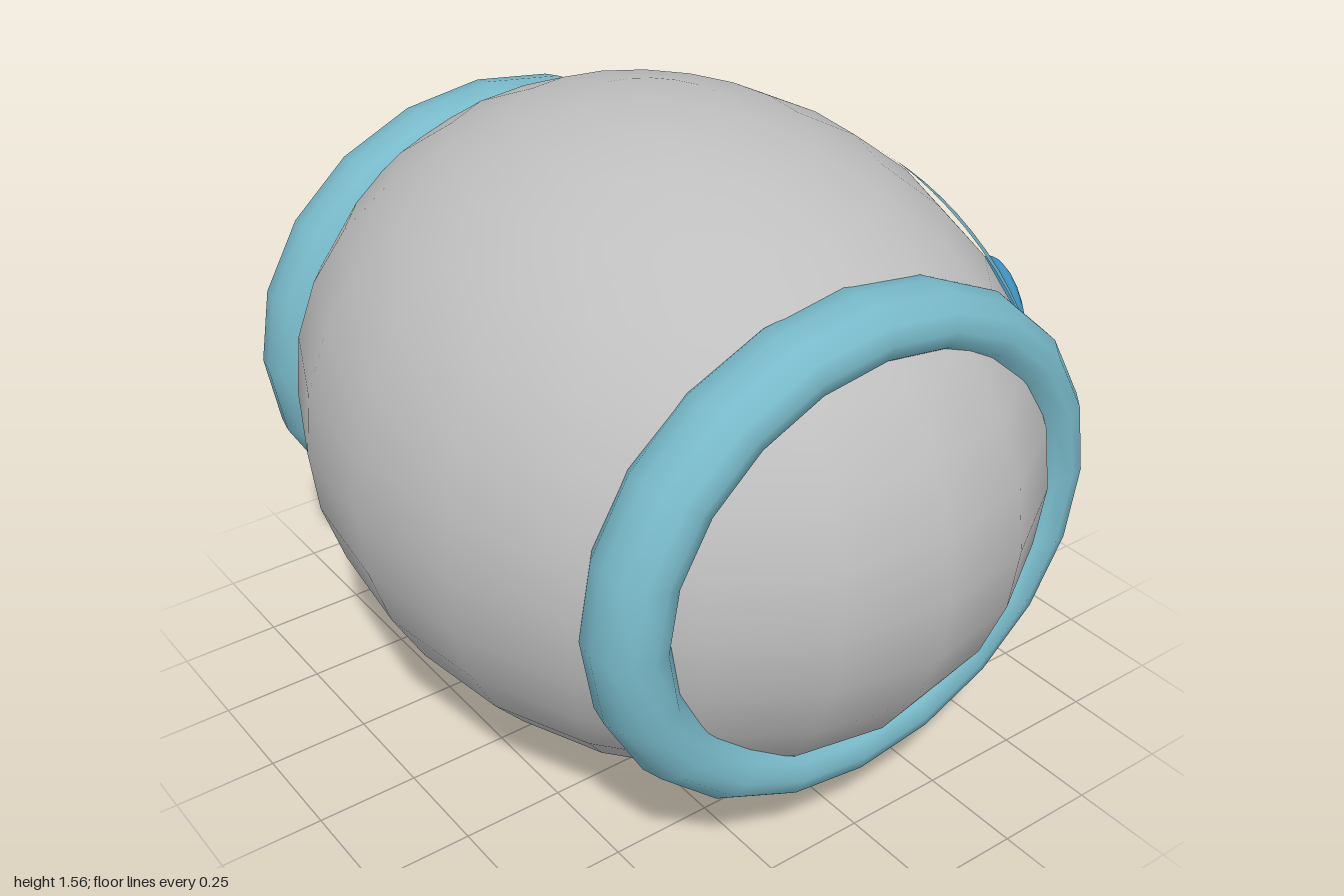
import * as THREE from 'three';

const CENTER = new THREE.Vector3(-0.012, 0.78, 0);
const RADII = new THREE.Vector3(0.822, 0.78, 1);

const material = (name, color) => {
  const m = new THREE.MeshStandardMaterial({ color });
  m.name = name;
  return m;
};

// Thin oval skin that hugs the +x side of the body, sinking in at its rim
function facePatchGeometry() {
  const geo = new THREE.RingGeometry(0, 1, 64, 12).rotateY(Math.PI / 2);
  const pos = geo.attributes.position;
  const normal = geo.attributes.normal;
  const n = new THREE.Vector3();
  for (let i = 0; i < pos.count; i++) {
    const y = pos.getY(i), z = pos.getZ(i);
    const r = Math.hypot(y, z) || 1e-6;
    const a = Math.atan2(y, z);
    // slightly squarish oval outline
    const k = r / Math.pow(Math.abs(Math.cos(a)) ** 2.2 + Math.abs(Math.sin(a)) ** 2.2, 1 / 2.2);
    const py = 0.05 + 0.53 * k * Math.sin(a);
    const pz = 0.64 * k * Math.cos(a);
    const lift = r > 0.99 ? 1.002 : 1.012;
    const u = py / (RADII.y * lift), w = pz / (RADII.z * lift);
    const px = RADII.x * lift * Math.sqrt(1 - u * u - w * w);
    pos.setXYZ(i, CENTER.x + px, CENTER.y + py, pz);
    n.set(px / RADII.x ** 2, py / RADII.y ** 2, pz / RADII.z ** 2).normalize();
    normal.setXYZ(i, n.x, n.y, n.z);
  }
  return geo;
}

export function createModel() {
  const group = new THREE.Group();
  const shell = material('shell grey', 0xbfbfbf);
  const teal = material('trim teal', 0x78b9c9);
  const blue = material('eye blue', 0x3c8fbc);

  const add = (name, geometry, mat) => {
    const mesh = new THREE.Mesh(geometry, mat);
    mesh.name = name;
    group.add(mesh);
    return mesh;
  };

  // Long egg-shaped body
  const body = add('body', new THREE.SphereGeometry(1, 20, 16), shell);
  body.scale.copy(RADII);
  body.position.copy(CENTER);

  // Face patch on the side
  add('facePatch', facePatchGeometry(), teal);

  // Soft rings around both ends
  const ringGeo = new THREE.TorusGeometry(0.585, 0.085, 12, 20);
  for (const [name, y, z] of [['frontRing', 0.777, 0.7], ['backRing', 0.8, -0.695]]) {
    const ring = add(name, ringGeo, teal);
    ring.scale.set(1, 0.895, 1.25);
    ring.position.set(-0.03, y, z);
  }

  // Flattened oval eyes, turned to follow the body
  const eyeGeo = new THREE.SphereGeometry(1, 16, 12);
  for (const [name, z] of [['frontEye', 0.325], ['backEye', -0.343]]) {
    const eye = add(name, eyeGeo, blue);
    eye.scale.set(0.042, 0.178, 0.13);
    eye.position.set(0.78, 0.9, z);
    eye.rotation.set(0, -Math.sign(z) * 0.25, 0.11);
  }

  return group;
}
